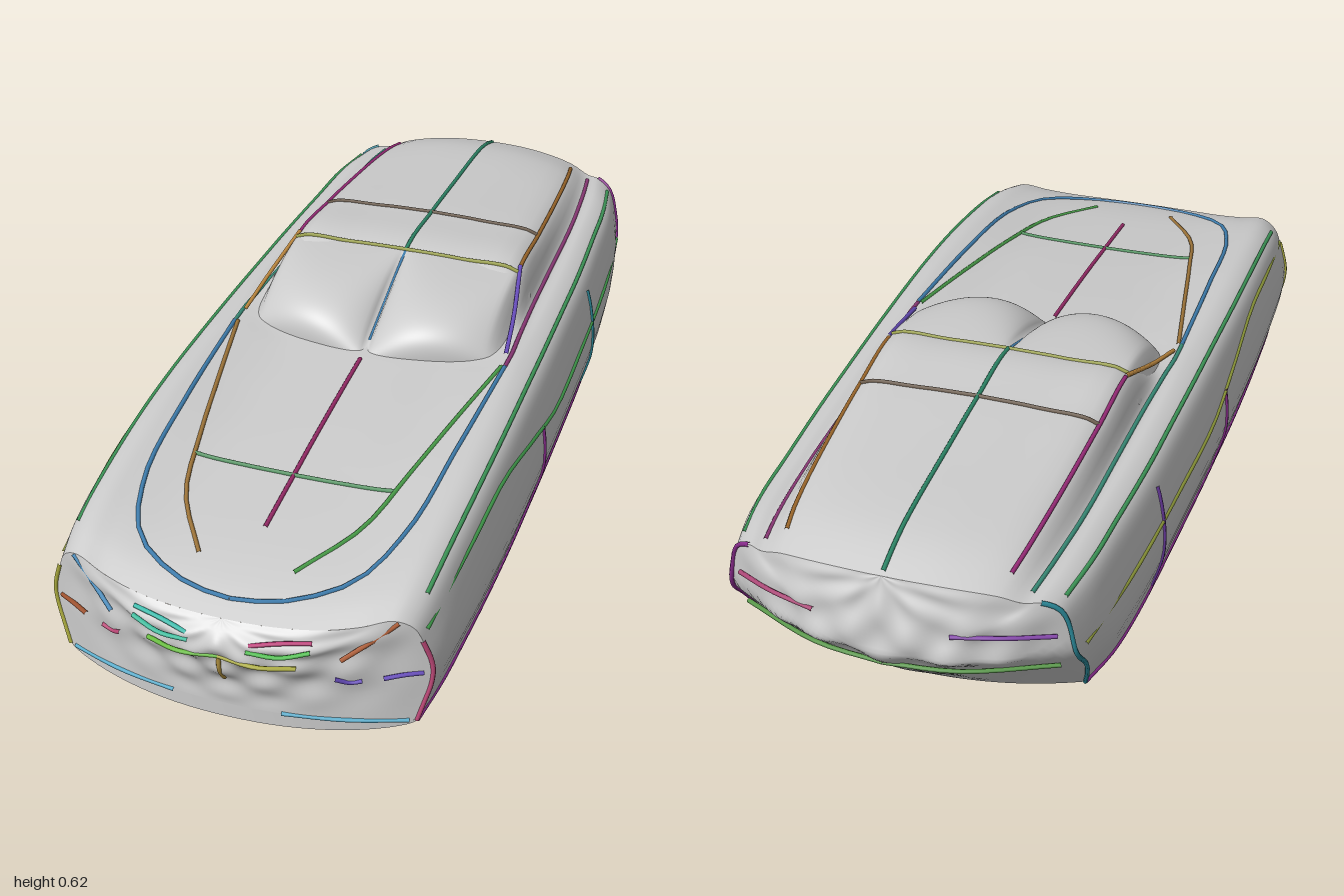
import * as THREE from 'three';
import { ParametricGeometry } from 'three/addons/geometries/ParametricGeometry.js';

const SILL = 0.19, FRONT = 0.87, REAR = -0.85;

// Stations: z, half width, shoulder y, belt x, belt y, roof or hood edge x, y, centre y, hull depth
const stations = [
  [-0.85, 0.365, 0.508, 0.27, 0.508, 0.22, 0.525, 0.542, 0],
  [-0.75, 0.388, 0.515, 0.285, 0.515, 0.24, 0.552, 0.578, 0.05],
  [-0.6, 0.40, 0.515, 0.298, 0.515, 0.255, 0.573, 0.596, 0.11],
  [-0.4, 0.412, 0.515, 0.303, 0.516, 0.265, 0.591, 0.61, 0.17],
  [-0.2, 0.418, 0.517, 0.308, 0.518, 0.27, 0.60, 0.612, 0.19],
  [-0.05, 0.422, 0.518, 0.315, 0.52, 0.27, 0.53, 0.53, 0.184],
  [0.05, 0.424, 0.518, 0.32, 0.52, 0.24, 0.512, 0.513, 0.18],
  [0.13, 0.425, 0.518, 0.315, 0.518, 0.2, 0.506, 0.508, 0.176],
  [0.3, 0.427, 0.515, 0.31, 0.512, 0.2, 0.498, 0.497, 0.163],
  [0.5, 0.425, 0.505, 0.30, 0.50, 0.2, 0.485, 0.48, 0.14],
  [0.7, 0.418, 0.483, 0.29, 0.475, 0.2, 0.46, 0.455, 0.102],
  [0.8, 0.412, 0.463, 0.28, 0.453, 0.2, 0.44, 0.432, 0.07],
  [0.87, 0.402, 0.44, 0.27, 0.425, 0.2, 0.413, 0.405, 0.035],
];

// Smooth interpolation of all station values at a given z
function stationAt(z) {
  const last = stations.length - 1;
  let k = 0;
  while (k < last - 1 && z > stations[k + 1][0]) k++;
  const a = stations[k], b = stations[k + 1];
  const p = stations[Math.max(k - 1, 0)], n = stations[Math.min(k + 2, last)];
  const h = b[0] - a[0], t = THREE.MathUtils.clamp((z - a[0]) / h, 0, 1);
  return a.map((v, i) => {
    const m0 = (b[i] - p[i]) / (b[0] - p[0]) * h, m1 = (n[i] - v) / (n[0] - a[0]) * h;
    return v + t * (m0 + t * (3 * (b[i] - v) - 2 * m0 - m1 + t * (2 * (v - b[i]) + m0 + m1)));
  });
}

// Bows both ends in plan and leans the tail
function warp(x, y, z) {
  const bow = 1 - Math.min(1, Math.abs(x) / 0.4) ** 2.2;
  const f = THREE.MathUtils.smoothstep(z, 0.5, FRONT);
  const r = THREE.MathUtils.smoothstep(-z, 0.5, -REAR);
  const lean = 0.8 * THREE.MathUtils.clamp(0.38 - y, 0, 0.2);
  return z + f * 0.085 * bow + r * (lean - 0.105 * bow);
}

// Half cross-section from sill (0) up to the centre line (8)
function profile(z) {
  const [, w, sh, bx, by, rx, ry, cy] = stationAt(z);
  return new THREE.CatmullRomCurve3([
    [0.93 * w, SILL], [w, SILL + 0.12], [0.958 * w, sh - 0.06], [0.91 * w, sh - 0.018], [0.82 * w, sh],
    [bx, by], [rx, ry], [rx * 0.5, ry + 0.8 * (cy - ry)], [0, cy],
  ].map(([x, y]) => new THREE.Vector3(x, y, 0)));
}

function bodyPoint(z, knot, side = 1) {
  const p = profile(z).getPoint(knot / 8);
  return new THREE.Vector3(p.x * side, p.y, warp(p.x, p.y, z));
}

// Swelling of nose and tail, with shallow dents between lamps, grille and bumper
function bulge(v, t, dir) {
  const c = THREE.MathUtils.clamp(v, 0, 1);
  const swell = 0.038 * Math.sin(Math.PI * (dir > 0 ? c ** 2.5 : c)) * (1 - t * t);
  const dents = 0.03 * c * (1 - c) * (1 - t ** 6) * Math.cos(14 * t) * Math.sin(17 * c);
  return dir * (swell + dents);
}

// Point on the nose (dir 1) or tail (dir -1) given as x, y
function endPoint(x, y, dir) {
  const z = dir > 0 ? FRONT : REAR, cy = stationAt(z)[7];
  const v = (y - SILL) / (cy - SILL), t = Math.min(1, Math.abs(x) / 0.39);
  return new THREE.Vector3(x, y, warp(x, y, z) + bulge(v, t, dir));
}

// Windscreen from the roof header (v 0) to the hood (v 1): two full lobes, straight slope between and beside
function screenPoint(x, v) {
  const ax = Math.abs(x), e = Math.min(1, Math.abs(ax - 0.15) / 0.15);
  const power = THREE.MathUtils.lerp(1.9, 0.62, Math.sqrt(1 - e * e)), a = v * Math.PI / 2;
  const top = 0.602 + 0.01 * (1 - (x / 0.27) ** 2) - 2.2 * Math.max(0, ax - 0.27);
  const reach = 0.325 - 0.07 * (x / 0.3) ** 2;
  return new THREE.Vector3(x, 0.497 + (top - 0.497) * Math.max(0, Math.cos(a)) ** power,
    -0.215 + reach * Math.sin(a) ** power);
}

export function createModel() {
  const model = new THREE.Group();
  const grey = new THREE.MeshStandardMaterial({ color: 0xcccccc });
  const open = new THREE.MeshStandardMaterial({ color: 0xcccccc, side: THREE.DoubleSide });
  const add = (name, geometry, material) => {
    const mesh = new THREE.Mesh(geometry, material);
    mesh.name = name;
    model.add(mesh);
  };
  const surface = (name, fn, nu, nv, material = grey) => {
    const g = new ParametricGeometry(fn, nu, nv);
    g.computeVertexNormals();
    add(name, g, material);
  };

  // Upper body with hood, cabin and fenders
  surface('bodyShell', (u, v, out) => {
    const s = 1 - 2 * u;
    out.copy(bodyPoint(REAR + v * (FRONT - REAR), 8 * (1 - Math.abs(s)), s < 0 ? -1 : 1));
  }, 64, 90);

  // Rounded hull below the sills
  surface('underside', (u, v, out) => {
    const z = REAR + v * (FRONT - REAR), s = stationAt(z), a = (u - 0.5) * Math.PI;
    const x = 0.93 * s[1] * Math.sin(a), y = SILL - Math.max(0, s[8]) * Math.cos(a);
    out.set(x, y, warp(x, y, z));
  }, 40, 60);

  // Nose and tail
  for (const dir of [1, -1]) {
    const z = dir > 0 ? FRONT : REAR, curve = profile(z), cy = stationAt(z)[7];
    surface(dir > 0 ? 'nose' : 'tail', (u, v, out) => {
      const s = (2 * u - 1) * dir, t = Math.abs(s), p = curve.getPoint(v);
      const x = p.x * s, y = THREE.MathUtils.lerp(SILL + v * (cy - SILL), p.y, t * t);
      out.set(x, y, warp(x, y, z) + bulge(v, t, dir));
    }, 60, 40);
  }

  // Lip joining the nose to the hull
  surface('noseLip', (u, v, out) => {
    const s = stationAt(FRONT), a = (u - 0.5) * Math.PI;
    const x = 0.93 * s[1] * Math.sin(a), y = SILL - s[8] * Math.cos(a) * (1 - v);
    out.set(x, y, warp(x, y, FRONT));
  }, 40, 1);

  // Twin-lobed windscreen
  surface('windscreen', (u, v, out) => out.copy(screenPoint(0.3 * (1 - 2 * u), v)), 64, 32, open);

  // Thin coloured feature lines
  const line = (name, color, points) => add(name, new THREE.TubeGeometry(
    new THREE.CatmullRomCurve3(points), Math.max(6, points.length * 3), 0.005, 6),
  new THREE.MeshStandardMaterial({ color }));
  const alongBody = (name, color, side, z0, z1, k0, k1 = k0, n = 14) => line(name, color,
    Array.from({ length: n + 1 }, (_, i) =>
      bodyPoint(z0 + (z1 - z0) * i / n, k0 + (k1 - k0) * i / n, side)));
  const acrossBody = (name, color, z, knot) => line(name, color,
    Array.from({ length: 17 }, (_, i) => {
      const s = 1 - i / 8;
      return bodyPoint(z, 8 - (8 - knot) * Math.abs(s), s < 0 ? -1 : 1);
    }));

  for (const side of [1, -1]) {
    const pick = (a, b) => (side > 0 ? a : b);
    alongBody('sillLine', 0x8a2c8e, side, FRONT, REAR, 0);
    alongBody('doorFrontLine', 0x8a2c8e, side, 0.11, 0.11, 0.05, 1.6, 6);
    alongBody('doorRearLine', pick(0x2c8a9a, 0x6a3aa0), side, -0.4, -0.4, 0.15, 2.2, 6);
    line('waistLine', pick(0x3f9a4a, 0x8f9a3a), [[0.85, 2.3], [0.6, 2.1], [0.4, 2.0], [0.2, 1.7], [0, 1.45],
      [-0.3, 1.45], [-0.6, 1.45], [-0.82, 1.45]].map(([z, k]) => bodyPoint(z, k, side)));
    alongBody('fenderLine', 0x3f9a5a, side, 0.8, -0.82, 3.2);
    alongBody('beltLine', pick(0x8f3a7a, 0x3a8f7a), side, 0.08, -0.82, 5);
    alongBody('roofEdgeLine', pick(0xa06a2c, 0x9a2c7a), side, -0.22, -0.8, 6);
    line('windscreenPillar', pick(0x6a4fc0, 0xc08a40), [[0.27, 0.605, -0.22], [0.295, 0.56, -0.08], [0.31, 0.527, 0.04]]
      .map(([x, y, z]) => new THREE.Vector3(x * side, y, z)));
    line('hoodInnerLine', pick(0x4aa04a, 0xa0763a), [[0.08, 5.1], [0.3, 5.4], [0.5, 5.7], [0.65, 6.1], [0.76, 7]]
      .map(([z, k]) => bodyPoint(z, k, side)));
    line('hoodOuterLine', 0x3f7fb0, [[0.08, 5], [0.4, 5], [0.65, 5.1], [0.77, 5.7], [0.82, 7], [0.83, 8]]
      .map(([z, k]) => bodyPoint(z, k, side)));

    // Lines on the nose: colour for left, colour for right, then x, y points
    const noseLines = [
      ['grilleTopLine', 0xc03a7a, 0x3ac0b0, [[0.065, 0.375], [0.125, 0.386], [0.185, 0.39]]],
      ['grilleMiddleLine', 0x4ac04a, 0x3ac0a0, [[0.06, 0.362], [0.125, 0.36], [0.185, 0.376]]],
      ['grilleBottomLine', 0xb0b040, 0x6ac040, [[0, 0.335], [0.08, 0.333], [0.155, 0.33]]],
      ['headlampLine', 0xb0603a, 0x4a8fc0, [[0.34, 0.435], [0.3, 0.4], [0.24, 0.358]]],
      ['intakeOuterLine', 0x6a4fc0, 0xa0522d, [[0.385, 0.31], [0.35, 0.31], [0.315, 0.305]]],
      ['intakeInnerLine', 0x6a4fc0, 0xc04a7a, [[0.275, 0.295], [0.25, 0.29], [0.225, 0.305]]],
      ['bumperLine', 0x5ab0d0, 0x5ab0d0, [[0.115, 0.19], [0.24, 0.19], [0.36, 0.19]]],
    ];
    for (const [name, left, right, pts] of noseLines)
      line(name, pick(left, right), pts.map(([x, y]) => endPoint(x * side, y, 1)));
    alongBody('noseCornerLine', pick(0xc04a7a, 0xb0b040), side, FRONT, FRONT, 0, 2.2, 6);

    // Lines on the tail
    line('tailLampLine', pick(0xb04a7a, 0x8a4ab0), [[0.14, 0.44], [0.24, 0.44], [0.33, 0.43]]
      .map(([x, y]) => endPoint(x * side, y, -1)));
    line('tailBumperLine', 0x5a9a4a, [[0, 0.34], [0.15, 0.34], [0.33, 0.34]]
      .map(([x, y]) => endPoint(x * side, y, -1)));
    alongBody('tailCornerLine', pick(0x8a2c8e, 0x2c8a9a), side, REAR, REAR, 0, 4, 8);
  }

  // Lines on and across the centre
  alongBody('roofCentreLine', 0x2f8a6a, 1, -0.2, -0.84, 8);
  alongBody('hoodCentreLine', 0x9a2c6a, 1, 0.13, 0.68, 8);
  line('windscreenCentreLine', 0x3f7fb0, [0, 0.2, 0.4, 0.6, 0.75].map((v) => screenPoint(0, v)));
  acrossBody('roofCrossLine', 0x6a5a4a, -0.4, 6);
  acrossBody('roofHeaderLine', 0x9aa04a, -0.2, 6);
  acrossBody('hoodCrossLine', 0x4a8f5a, 0.55, 5.8);
  line('noseCentreLine', 0xb09040, [0.26, 0.3, 0.33].map((y) => endPoint(0, y, 1)));
  return model;
}
